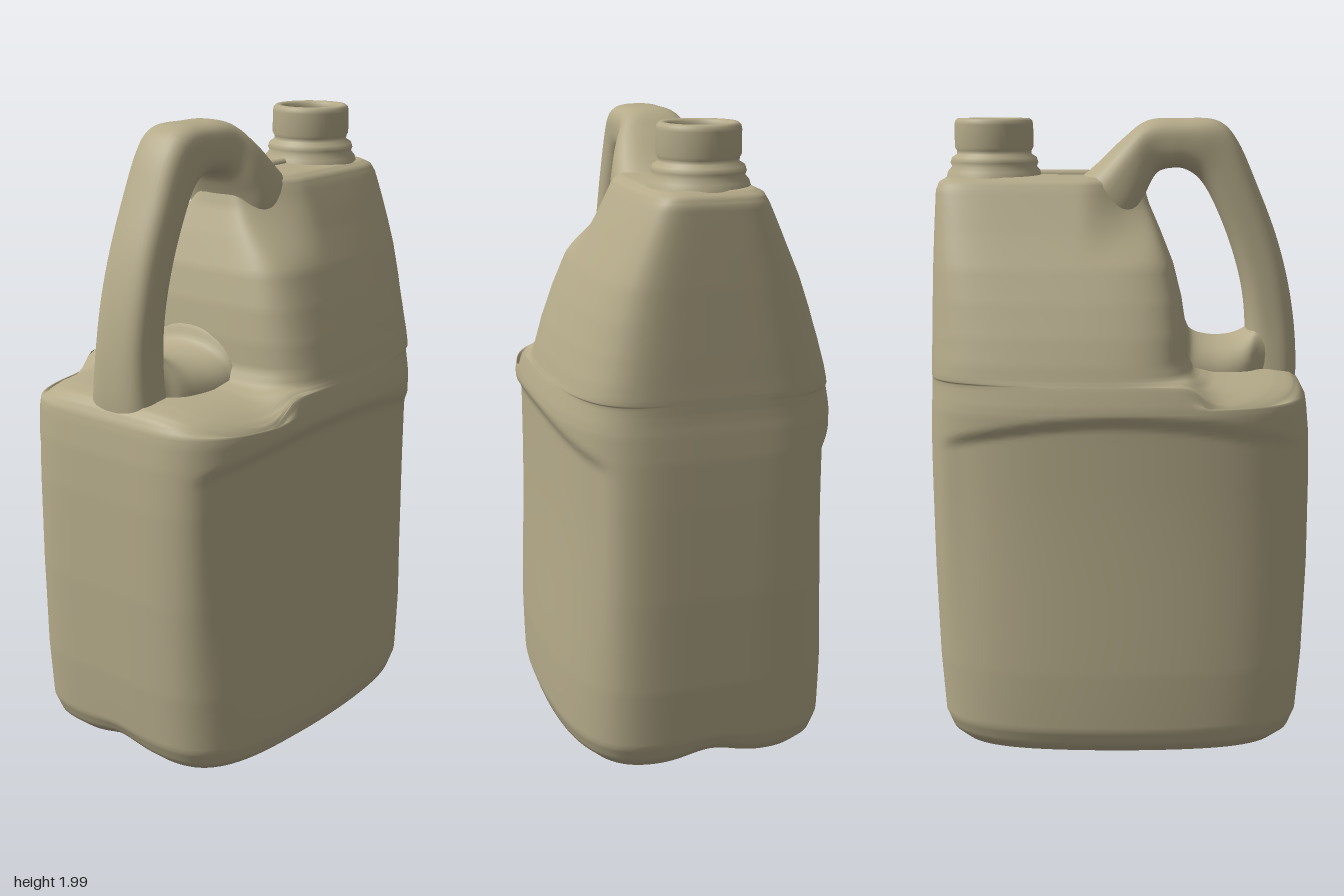
import * as THREE from 'three';

const { lerp, smoothstep } = THREE.MathUtils;

// Rounded-square outline, evenly spread, running from +x towards +z
function outline(perSide, power) {
  const pts = [];
  for (let side = 0; side < 4; side++) {
    for (let i = 0; i < perSide; i++) {
      const u = -1 + (2 * i) / perSide;
      const [s, t] = [[1, u], [-u, 1], [-1, -u], [u, -1]][side];
      const f = Math.pow(Math.abs(s) ** power + Math.abs(t) ** power, -1 / power);
      pts.push([s * f, t * f]);
    }
  }
  return pts;
}

// Smooth skin through closed rings of equal length
function loft(rings) {
  const n = rings[0].length, pos = [], index = [];
  rings.forEach((ring) => ring.forEach((p) => pos.push(p[0], p[1], p[2])));
  for (let j = 0; j < rings.length - 1; j++) {
    for (let i = 0; i < n; i++) {
      const a = j * n + i, b = j * n + ((i + 1) % n);
      index.push(a, a + n, b, b, a + n, b + n);
    }
  }
  const g = new THREE.BufferGeometry();
  g.setAttribute('position', new THREE.Float32BufferAttribute(pos, 3));
  g.setIndex(index);
  g.computeVertexNormals();
  return g;
}

// Body levels: height, left edge, right edge, half depth
const LEVELS = [
  [0.02, 0, 0, 0], [0.01, -0.3, 0.3, 0.22], [0.01, -0.46, 0.46, 0.34],
  [0.025, -0.52, 0.52, 0.39], [0.06, -0.56, 0.555, 0.43], [0.11, -0.58, 0.575, 0.448],
  [0.3, -0.595, 0.588, 0.455], [0.6, -0.605, 0.597, 0.455], [0.9, -0.605, 0.6, 0.455],
  [1.04, -0.6, 0.6, 0.455], [1.12, -0.592, 0.597, 0.456], [1.15, -0.587, 0.595, 0.452],
  [1.18, -0.572, 0.594, 0.445], [1.2, -0.545, 0.594, 0.44], [1.21, -0.48, 0.594, 0.437],
  [1.215, -0.3, 0.594, 0.435], [1.23, -0.235, 0.594, 0.43], [1.27, -0.215, 0.593, 0.42],
  [1.35, -0.21, 0.592, 0.395], [1.45, -0.195, 0.59, 0.357], [1.55, -0.17, 0.588, 0.313],
  [1.65, -0.13, 0.585, 0.26], [1.73, -0.095, 0.582, 0.22], [1.78, -0.08, 0.58, 0.195],
  [1.805, -0.07, 0.57, 0.18], [1.82, -0.05, 0.545, 0.15], [1.825, 0.25, 0.25, 0],
];

function bodyPoint([y, xl, xr, depth], [s, t]) {
  const x = (xl + xr) / 2 + ((xr - xl) / 2) * s;
  // front and back bulge in plan, flattening towards the top
  const bulge = lerp(0.17, 0.04, smoothstep(y, 1.3, 1.8));
  let z = depth * t * (1 - bulge * (x / 0.6) ** 2);
  // narrows into the handle at the top
  z *= 1 - 0.45 * smoothstep(-x, -0.12, 0.09) * smoothstep(y, 1.55, 1.8);
  // label panel set back below an arched ridge
  const arch = 1.115 - 0.28 * x * x;
  const panel = smoothstep(-y, -arch - 0.015, -arch + 0.035) * smoothstep(y, 0.1, 0.9);
  z -= Math.sign(t) * 0.018 * panel * smoothstep(Math.abs(t), 0.6, 0.9) * (1 - smoothstep(Math.abs(x), 0.48, 0.58));
  z += 0.015 * smoothstep(y, 1.2, 1.8);
  // shoulder falls away to the rim; shallow channel under each end of the base
  const drop = 0.07 * t ** 4 * smoothstep(-x, 0.2, 0.3) * smoothstep(y, 1.14, 1.2);
  const channel = 0.03 * Math.exp(-((z / 0.1) ** 2)) * smoothstep(Math.abs(x), 0.3, 0.5) * (1 - smoothstep(y, 0, 0.2));
  return [x, y - drop + channel, z];
}

function bodyGeometry() {
  const pts = outline(32, 5.5), rings = [];
  for (let k = 0; k < LEVELS.length - 1; k++) {
    const a = LEVELS[k], b = LEVELS[k + 1];
    const steps = Math.max(3, Math.ceil((b[0] - a[0]) / 0.015));
    for (let i = 0; i < steps; i++) {
      const level = a.map((v, c) => lerp(v, b[c], i / steps));
      rings.push(pts.map((p) => bodyPoint(level, p)));
    }
  }
  const last = LEVELS[LEVELS.length - 1];
  rings.push(pts.map((p) => bodyPoint(last, p)));
  return loft(rings);
}

// Bar between an outer and an inner line: [outer x, y, inner x, y, half width]
function barGeometry(rows, power, zMid, steps) {
  const curve = (f) => new THREE.CatmullRomCurve3(rows.map(f), false, 'catmullrom', 0.5);
  const outer = curve((r) => new THREE.Vector3(r[0], r[1], r[4]));
  const inner = curve((r) => new THREE.Vector3(r[2], r[3], r[4]));
  const pts = outline(10, power), rings = [];
  for (let i = 0; i <= steps; i++) {
    const o = outer.getPoint(i / steps), n = inner.getPoint(i / steps);
    rings.push(pts.map(([s, t]) => [
      (o.x + n.x) / 2 + ((o.x - n.x) / 2) * s,
      (o.y + n.y) / 2 + ((o.y - n.y) / 2) * s,
      zMid - o.z * t,
    ]));
  }
  return loft(rings);
}

const HANDLE = [
  [-0.57, 1.1, -0.4, 1.1, 0.125], [-0.575, 1.22, -0.405, 1.24, 0.11],
  [-0.565, 1.36, -0.41, 1.34, 0.1], [-0.54, 1.5, -0.395, 1.47, 0.097],
  [-0.5, 1.64, -0.355, 1.61, 0.095], [-0.44, 1.79, -0.3, 1.74, 0.095],
  [-0.375, 1.93, -0.255, 1.81, 0.095], [-0.31, 1.993, -0.21, 1.84, 0.098],
  [-0.2, 2, -0.17, 1.845, 0.1], [-0.09, 1.993, -0.12, 1.83, 0.107],
  [-0.01, 1.935, -0.085, 1.77, 0.14], [0.08, 1.85, -0.05, 1.68, 0.165],
  [0.16, 1.79, 0.02, 1.6, 0.165],
];

// Raised bridge between the foot of the handle and the body
const BRIDGE = [
  [-0.52, 1.4, -0.52, 1.08, 0.08], [-0.45, 1.37, -0.45, 1.08, 0.11],
  [-0.41, 1.33, -0.41, 1.08, 0.15], [-0.36, 1.308, -0.36, 1.08, 0.17],
  [-0.29, 1.305, -0.29, 1.08, 0.18], [-0.23, 1.325, -0.23, 1.08, 0.19],
  [-0.2, 1.38, -0.2, 1.08, 0.19], [-0.14, 1.4, -0.14, 1.08, 0.17],
];

// Neck: outside wall, rolled lip, then down the bore to its floor
const NECK = [
  [0.155, 1.81], [0.148, 1.835], [0.135, 1.85], [0.14, 1.862], [0.135, 1.878],
  [0.119, 1.888], [0.119, 1.9], [0.125, 1.91], [0.125, 1.98], [0.122, 1.993],
  [0.114, 2], [0.102, 2], [0.094, 1.994], [0.091, 1.98], [0.09, 1.86], [0.0001, 1.86],
];

export function createModel() {
  const group = new THREE.Group();
  const plastic = new THREE.MeshStandardMaterial({ color: 0xb5ab8a });
  plastic.name = 'beige plastic';
  const add = (name, geometry) => {
    const mesh = new THREE.Mesh(geometry, plastic);
    mesh.name = name;
    group.add(mesh);
    return mesh;
  };

  add('body', bodyGeometry());
  add('handle', barGeometry(HANDLE, 3, 0.012, 72));
  add('handleBridge', barGeometry(BRIDGE, 2.2, 0.005, 40));

  const neck = add('neck', new THREE.LatheGeometry(NECK.map(([r, y]) => new THREE.Vector2(r, y)), 48));
  neck.position.set(0.4, 0, 0.015);

  // small moulded rib leading to the neck
  const rib = add('rib', new THREE.CapsuleGeometry(0.016, 0.17, 4, 10));
  rib.rotation.z = Math.PI / 2;
  rib.position.set(0.19, 1.823, 0.015);

  return group;
}
